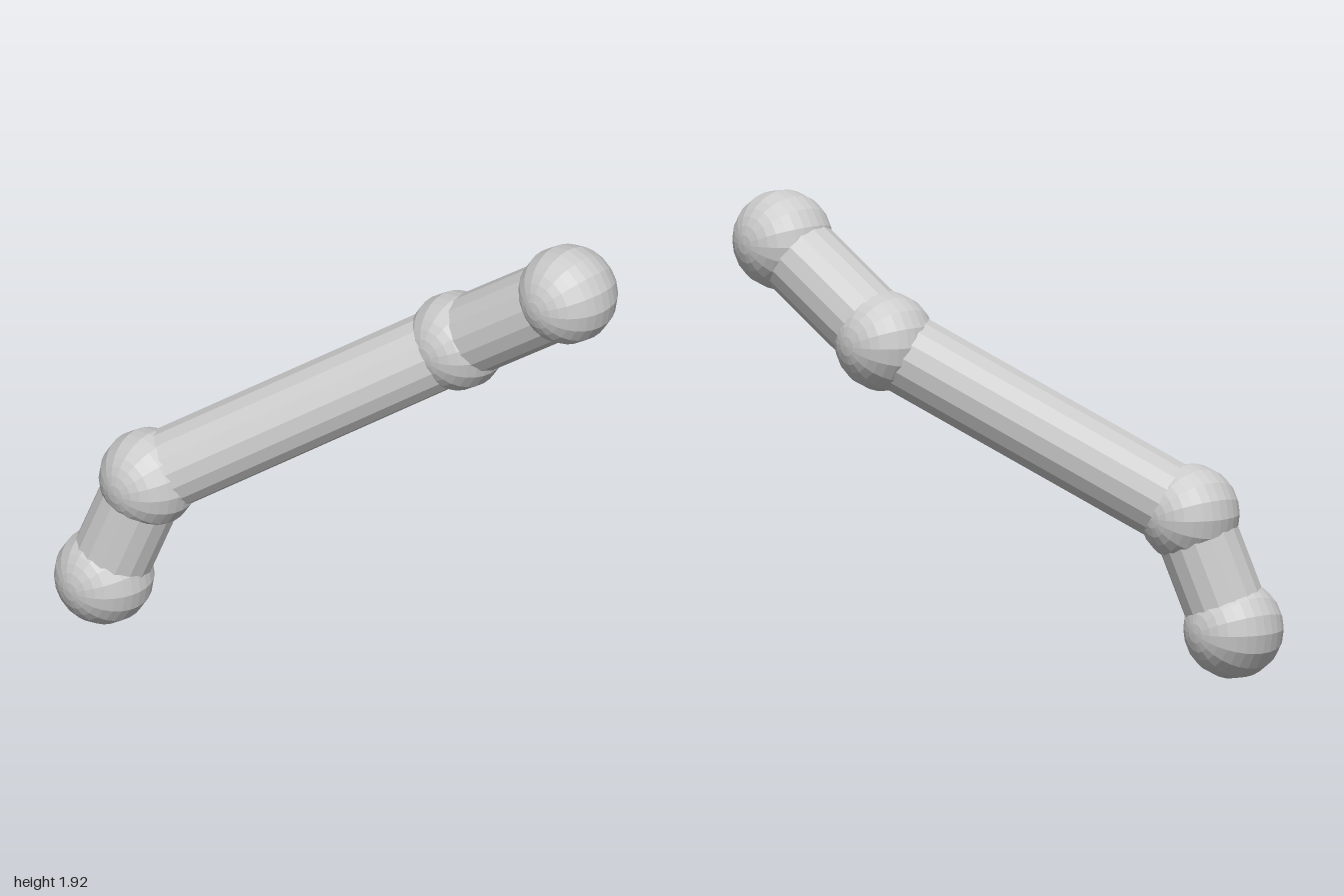
import * as THREE from 'three';

export function createModel() {
  const group = new THREE.Group();
  const material = new THREE.MeshStandardMaterial({ color: 0xcccccc, flatShading: true });

  // joint centres from the lower end to the upper end
  const joints = [
    [-0.795, 0.205, 0.532],
    [-0.65, 0.672, 0.42],
    [0.292, 1.348, -0.408],
    [0.792, 1.714, -0.534],
  ].map((p) => new THREE.Vector3(...p));
  const jointNames = ['lowerEndBall', 'lowerElbowBall', 'upperElbowBall', 'upperEndBall'];
  const tubeNames = ['lowerTube', 'middleTube', 'upperTube'];

  // balls, with their poles along z
  const ball = new THREE.SphereGeometry(0.205, 16, 16).rotateX(Math.PI / 2);
  joints.forEach((p, i) => {
    const mesh = new THREE.Mesh(ball, material);
    mesh.name = jointNames[i];
    mesh.position.copy(p);
    group.add(mesh);
  });

  // straight tubes between neighbouring balls
  const up = new THREE.Vector3(0, 1, 0);
  tubeNames.forEach((name, i) => {
    const span = joints[i + 1].clone().sub(joints[i]);
    const tube = new THREE.CylinderGeometry(0.168, 0.168, span.length(), 16);
    const mesh = new THREE.Mesh(tube, material);
    mesh.name = name;
    mesh.position.copy(joints[i]).addScaledVector(span, 0.5);
    mesh.quaternion.setFromUnitVectors(up, span.normalize());
    group.add(mesh);
  });

  return group;
}
